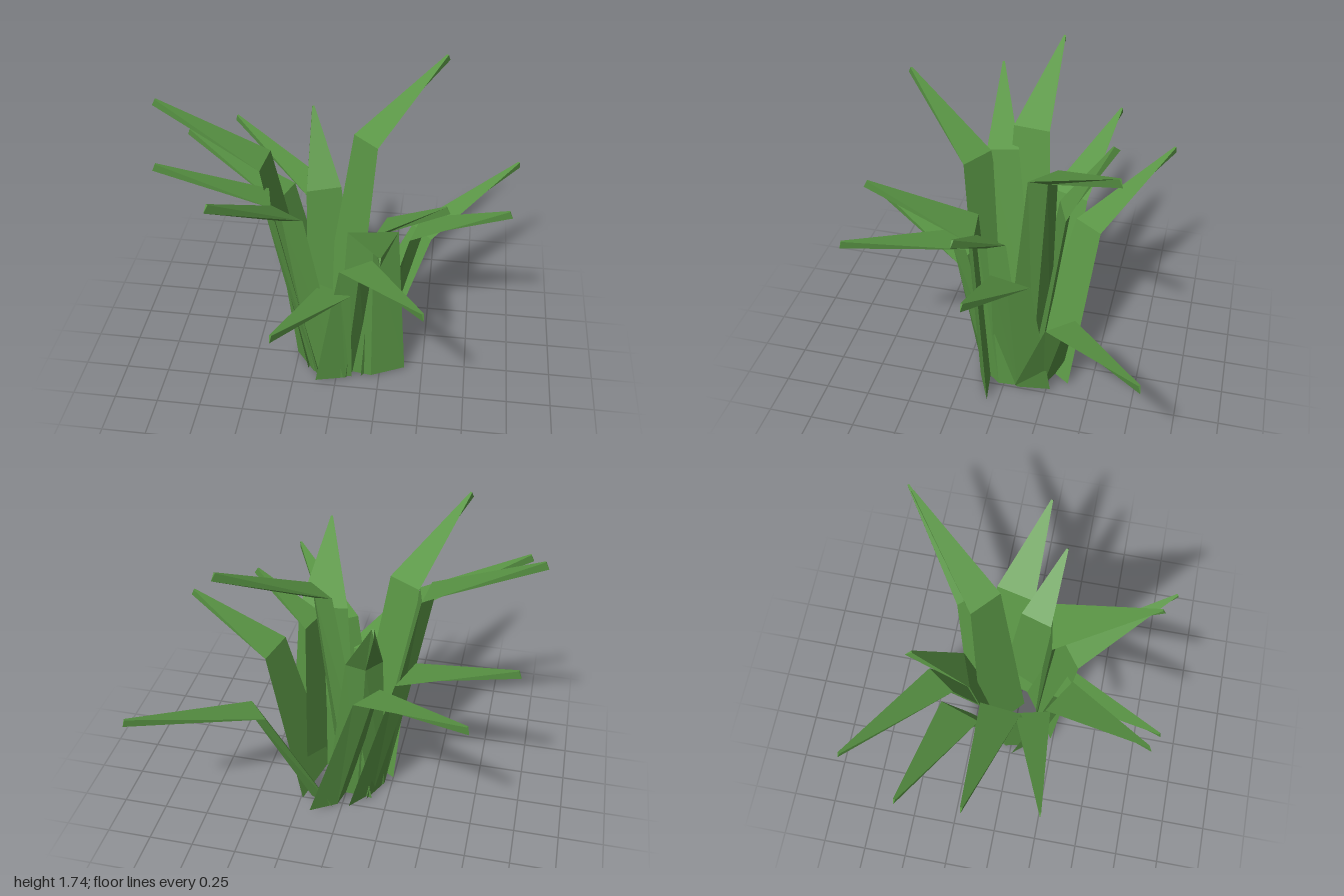
import * as THREE from 'three';

const DEPTH = 0.045;

// Each leaf: base (x, z), bend (x, y, z), tip (x, y, z), width at the bend
const LEAVES = [
  [[0.17, -0.21], [0.45, 0.71, -0.37], [0.99, 0.93, -0.84], 0.18],
  [[-0.02, -0.10], [0.13, 1.42, -0.20], [0.52, 1.73, -0.63], 0.19],
  [[0.22, -0.09], [0.43, 0.94, -0.08], [0.91, 1.18, 0.03], 0.23],
  [[0.22, 0.02], [0.25, 1.05, 0.07], [0.58, 1.28, 0.17], 0.18],
  [[0.04, 0.16], [0.13, 0.93, 0.29], [0.50, 1.10, 0.80], 0.20],
  [[0.20, 0.12], [0.20, 1.08, 0.18], [0.28, 1.35, 0.72], 0.27],
  [[-0.07, 0.14], [0.00, 0.74, 0.28], [-0.24, 0.90, 0.83], 0.19],
  [[-0.12, 0.13], [-0.25, 1.24, 0.28], [-0.53, 1.59, 0.73], 0.21],
  [[-0.16, 0.06], [-0.37, 1.24, 0.15], [-0.91, 1.49, 0.28], 0.18],
  [[-0.18, -0.03], [-0.42, 1.37, -0.01], [-0.99, 1.66, -0.07], 0.21],
  [[-0.13, -0.12], [-0.36, 1.00, -0.25], [-0.93, 1.26, -0.44], 0.23],
  [[0.05, -0.25], [-0.18, 0.93, -0.40], [-0.73, 1.16, -0.79], 0.19],
  [[-0.06, -0.14], [-0.13, 1.05, -0.27], [-0.22, 1.44, -0.51], 0.20],
];

// Three-sided leaf, flat on the inner/upper side with a keel behind:
// a stem widening to its foot, a mitred bend, a blade narrowing to the tip
function leafGeometry([b, k, t, width]) {
  const base = new THREE.Vector3(b[0], 0.025, b[1]);
  const bend = new THREE.Vector3(...k);
  const tip = new THREE.Vector3(...t);
  const stemDir = bend.clone().sub(base).normalize();
  const bladeDir = tip.clone().sub(bend).normalize();
  const across = new THREE.Vector3(bladeDir.z, 0, -bladeDir.x).normalize();
  const normalTo = (d) => d.clone().cross(across).normalize();
  const n0 = normalTo(stemDir), n2 = normalTo(bladeDir);
  const n1 = n0.clone().add(n2).normalize();
  const mitre = 1 / Math.max(0.6, n1.dot(n2));

  // Corners: left edge, right edge, keel
  const ring = (p, n, w, d) => [[-1, 1], [1, 1], [0, -1]].map(([s, v]) =>
    p.clone().addScaledVector(across, s * w / 2).addScaledVector(n, v * d / 2));
  const rings = [
    ring(base, n0, 0.16 + 0.9 * width, DEPTH * 1.3),
    ring(bend, n1, width, DEPTH * mitre),
    ring(tip, n2, 0.012, DEPTH),
  ];

  const pts = [];
  for (let r = 0; r < 2; r++) {
    for (let i = 0; i < 3; i++) {
      const j = (i + 1) % 3;
      const [p, q] = [rings[r], rings[r + 1]];
      pts.push(p[i], p[j], q[j], p[i], q[j], q[i]);
    }
  }
  const [foot, , end] = rings;
  pts.push(foot[0], foot[2], foot[1], end[0], end[1], end[2]);

  // The flat side must face along its normal
  const facing = pts[1].clone().sub(pts[0]).cross(pts[2].clone().sub(pts[0])).dot(n0);
  if (facing < 0) {
    for (let i = 0; i < pts.length; i += 3) [pts[i + 1], pts[i + 2]] = [pts[i + 2], pts[i + 1]];
  }
  const geo = new THREE.BufferGeometry().setFromPoints(pts);
  geo.computeVertexNormals();
  return geo;
}

export function createModel() {
  const plant = new THREE.Group();
  plant.name = 'plant';
  const green = new THREE.MeshStandardMaterial({ color: 0x5a9645 });
  green.name = 'leaf green';
  LEAVES.forEach((leaf, i) => {
    const mesh = new THREE.Mesh(leafGeometry(leaf), green);
    mesh.name = `leaf ${i + 1}`;
    plant.add(mesh);
  });
  return plant;
}
